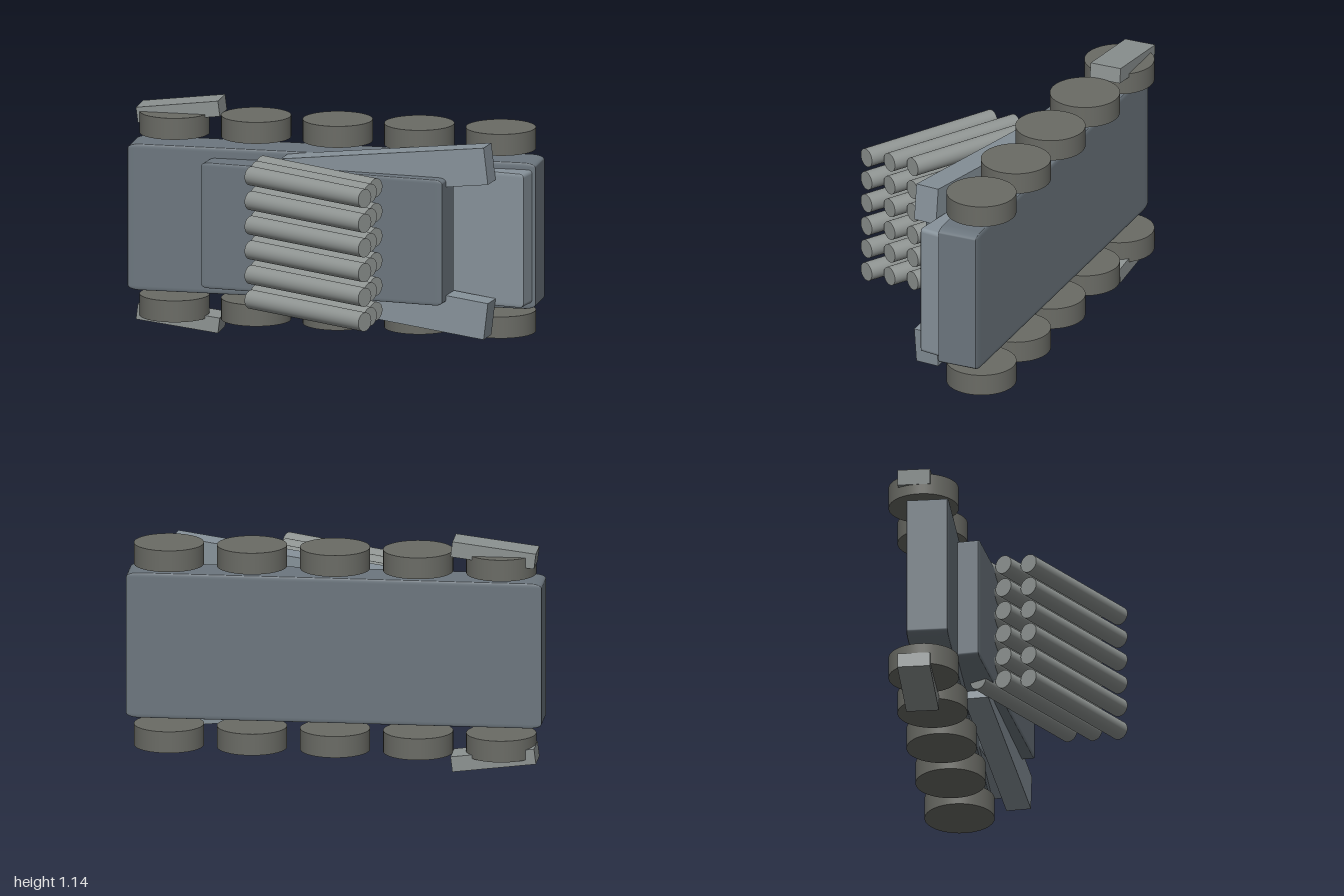
import * as THREE from 'three';
import { RoundedBoxGeometry } from 'three/addons/geometries/RoundedBoxGeometry.js';

const MID = 0.57; // height of the vehicle's plane of symmetry

const paint = (color) => new THREE.MeshStandardMaterial({ color });

export function createModel() {
  const model = new THREE.Group();
  model.name = 'rocketLauncherVehicle';

  const hullPaint = paint(0x6c767e);
  const platePaint = paint(0x87929a);
  const fenderPaint = paint(0x8c9291);
  const rubber = paint(0x6a6b65);
  const steel = paint(0x8f9492);

  // Unit shapes, scaled per part so that the bevels stretch with them
  const softBox = new RoundedBoxGeometry(1, 1, 1, 4, 0.03);
  const sharpBox = new THREE.BoxGeometry(1, 1, 1);

  function add(name, geometry, material, position, scale = [1, 1, 1], rotation = [0, 0, 0]) {
    const mesh = new THREE.Mesh(geometry, material);
    mesh.name = name;
    mesh.position.set(...position);
    mesh.scale.set(...scale);
    mesh.rotation.set(...rotation);
    model.add(mesh);
    return mesh;
  }

  // Hull, tilted superstructure and sloped nose plate
  add('chassis', softBox, hullPaint, [0, MID + 0.002, -0.31], [2, 0.716, 0.206]);
  add('superstructure', softBox, hullPaint, [0, MID + 0.002, -0.12], [1.222, 0.615, 0.18], [0, -0.115, 0]);
  add('nosePlate', softBox, platePaint, [0.683, MID, -0.231], [0.6, 0.655, 0.16], [0, -0.174, 0]);

  // Parts mirrored on both flanks
  const wheelGeometry = new THREE.CylinderGeometry(0.168, 0.168, 0.105, 48);
  for (const side of [1, -1]) {
    add('flankBeam', sharpBox, platePaint, [0.3, MID + side * 0.319, -0.11],
      [1.03, 0.18, 0.12], [0, -0.094, side * 0.12]);
    add('fender', sharpBox, fenderPaint, [-0.773, MID + side * 0.507, -0.377],
      [0.405, 0.075, 0.157], [0, 0, side * 0.123]);
    for (let i = -2; i <= 2; i++) {
      add('wheel', wheelGeometry, rubber, [i * 0.4, MID + side * 0.4475, -0.348]);
    }
  }

  // Launcher: three layers of six raised tubes
  const tubeGeometry = new THREE.CylinderGeometry(0.046, 0.046, 0.74, 32).rotateZ(Math.PI / 2);
  for (let row = 0; row < 6; row++) {
    for (let layer = 0; layer < 3; layer++) {
      add('launchTube', tubeGeometry, steel,
        [-0.003, MID + 0.001 + (row - 2.5) * 0.121, 0.048 + layer * 0.121],
        [1, 1, 1], [0, -Math.PI / 6, 0]);
    }
  }

  return model;
}
